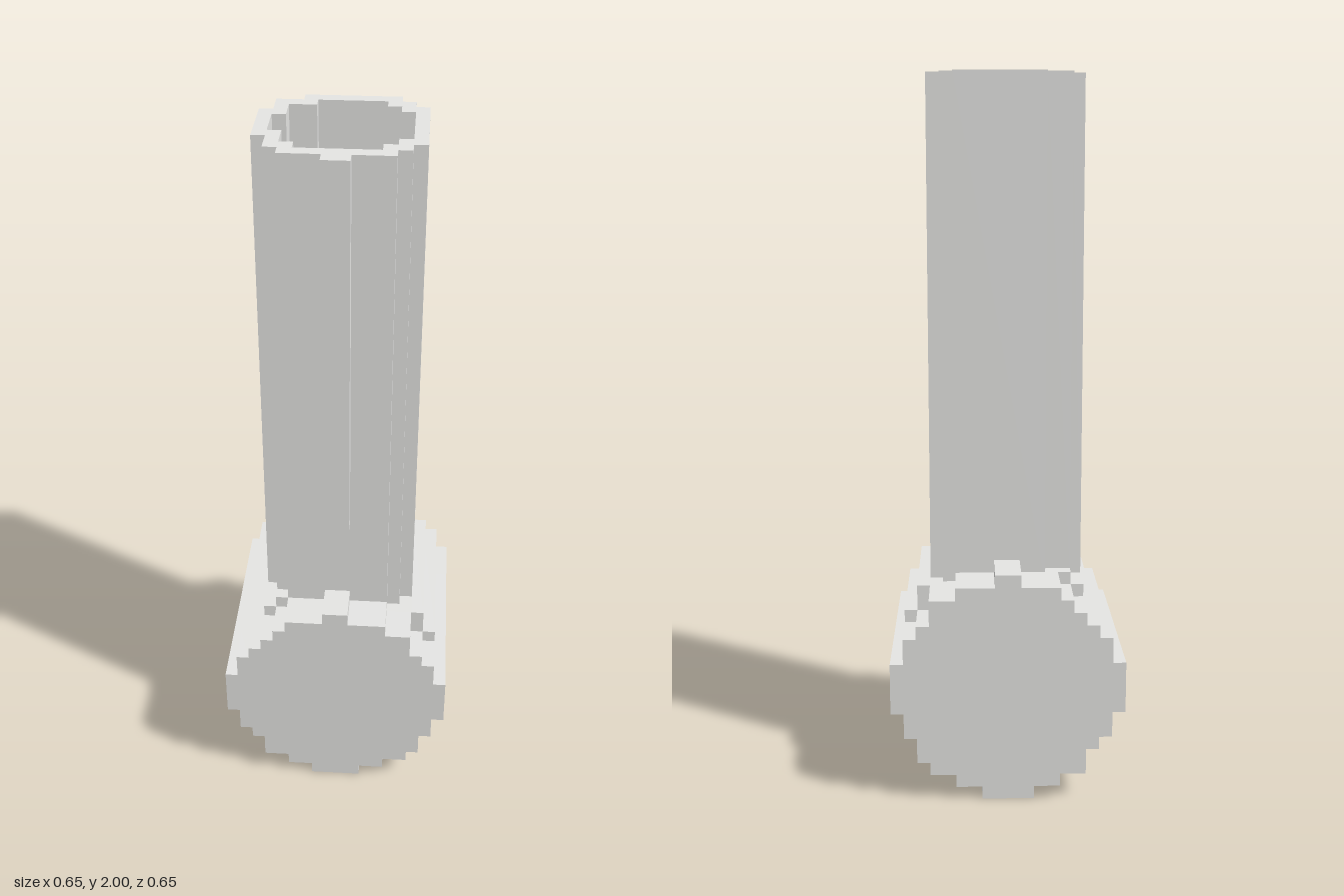
import * as THREE from 'three';

const U = 2 / 55; // size of one block

const stone = new THREE.MeshStandardMaterial({ color: 0xe5e5e3 });
stone.name = 'pale grey';
const blue = new THREE.MeshStandardMaterial({ color: 0x93bde7 });
blue.name = 'soft blue';

// Turns block coordinates into scaled 2D points
const scaled = (pts, flip = 1) => pts.map(([a, b]) => new THREE.Vector2(a * U, b * U * flip));

function mesh(name, geometry, material = stone) {
  const m = new THREE.Mesh(geometry, material);
  m.name = name;
  return m;
}

// Stepped outline from columns [left, right, bottom, top], extruded from z0 to z1
function steppedSlab(name, columns, z0, z1) {
  const pts = [];
  for (const [l, r, b] of columns) pts.push([l, b], [r, b]);
  for (const [l, r, , t] of [...columns].reverse()) pts.push([r, t], [l, t]);
  // drop repeated corners
  const clean = pts.filter((p, i) => {
    const q = pts[(i + 1) % pts.length];
    return p[0] !== q[0] || p[1] !== q[1];
  });
  const g = new THREE.ExtrudeGeometry(new THREE.Shape(scaled(clean)), { depth: (z1 - z0) * U, bevelEnabled: false });
  return mesh(name, g.translate(0, 0, z0 * U));
}

// Plan outline (x, z) raised from y0 to y1; the hole winds the other way so its walls face inward
function upright(name, outline, y0, y1, hole, material) {
  const shape = new THREE.Shape(scaled(outline, -1));
  if (hole) shape.holes.push(new THREE.Path(scaled(hole, -1).reverse()));
  const g = new THREE.ExtrudeGeometry(shape, { depth: (y1 - y0) * U, bevelEnabled: false });
  return mesh(name, g.rotateX(-Math.PI / 2).translate(0, y0 * U, 0), material);
}

export function createModel() {
  const model = new THREE.Group();
  model.name = 'blockTubeOnDrum';

  // Round drum lying front to back, with a differently stepped middle
  const ends = [
    [-9, -8, 7, 11], [-8, -7, 5, 13], [-7, -6, 4, 14], [-6, -5, 2, 15], [-5, -4, 2, 16],
    [-4, -2, 1, 17], [-2, -1, 0, 17], [-1, 1, 0, 18], [1, 2, 0, 17], [2, 4, 1, 17],
    [4, 6, 2, 16], [6, 7, 3, 14], [7, 8, 5, 13], [8, 9, 7, 11],
  ];
  const middle = [
    [-9, -8, 7, 11], [-8, -7, 5, 13], [-7, -6, 4, 14], [-6, -5, 2, 16], [-5, -4, 2, 17],
    [-4, -3, 1, 17], [-3, -2, 1, 16], [-2, 2, 0, 16], [2, 4, 1, 16],
    [4, 6, 2, 16], [6, 7, 3, 16], [7, 8, 5, 14], [8, 9, 7, 11],
  ];
  model.add(
    steppedSlab('drumFront', ends, 6, 9),
    steppedSlab('drumMiddle', middle, -5, 6),
    steppedSlab('drumBack', ends, -9, -5),
  );

  // Hollow upright tube
  const outer = [
    [-3, -5], [4, -5], [4, -4], [5, -4], [5, -3], [6, -3], [6, 4], [5, 4], [5, 5], [4, 5], [4, 6],
    [-4, 6], [-4, 5], [-5, 5], [-5, 3], [-6, 3], [-6, -2], [-5, -2], [-5, -4], [-3, -4],
  ];
  const inner = [
    [-2, -4], [3, -4], [3, -3], [4, -3], [4, -2], [5, -2], [5, 3], [4, 3], [4, 4], [3, 4], [3, 5],
    [-3, 5], [-3, 4], [-4, 4], [-4, 2], [-5, 2], [-5, -1], [-4, -1], [-4, -3], [-2, -3],
  ];
  model.add(upright('tube', outer, 16, 55, inner));

  // Raised strip down the front of the tube
  model.add(upright('frontStrip', [[-1, 6], [1, 6], [1, 7], [-1, 7]], 25, 55));

  // Blue patch on the floor inside the tube
  const patch = [
    [-0.8, -2], [-0.2, -2], [-0.2, -1.8], [0, -1.8], [0, -1.2], [0.2, -1.2], [0.2, -1], [0.8, -1], [0.8, -0.8],
    [1, -0.8], [1, 1.8], [0.8, 1.8], [0.8, 2], [0.2, 2], [0.2, 2.2], [0, 2.2], [0, 3.7], [-0.2, 3.7],
    [-0.2, 3.9], [-0.8, 3.9], [-0.8, 3.5], [-1, 3.5], [-1, -1.8], [-0.8, -1.8],
  ];
  model.add(upright('bluePatch', patch, 16, 16.06, null, blue));

  return model;
}
